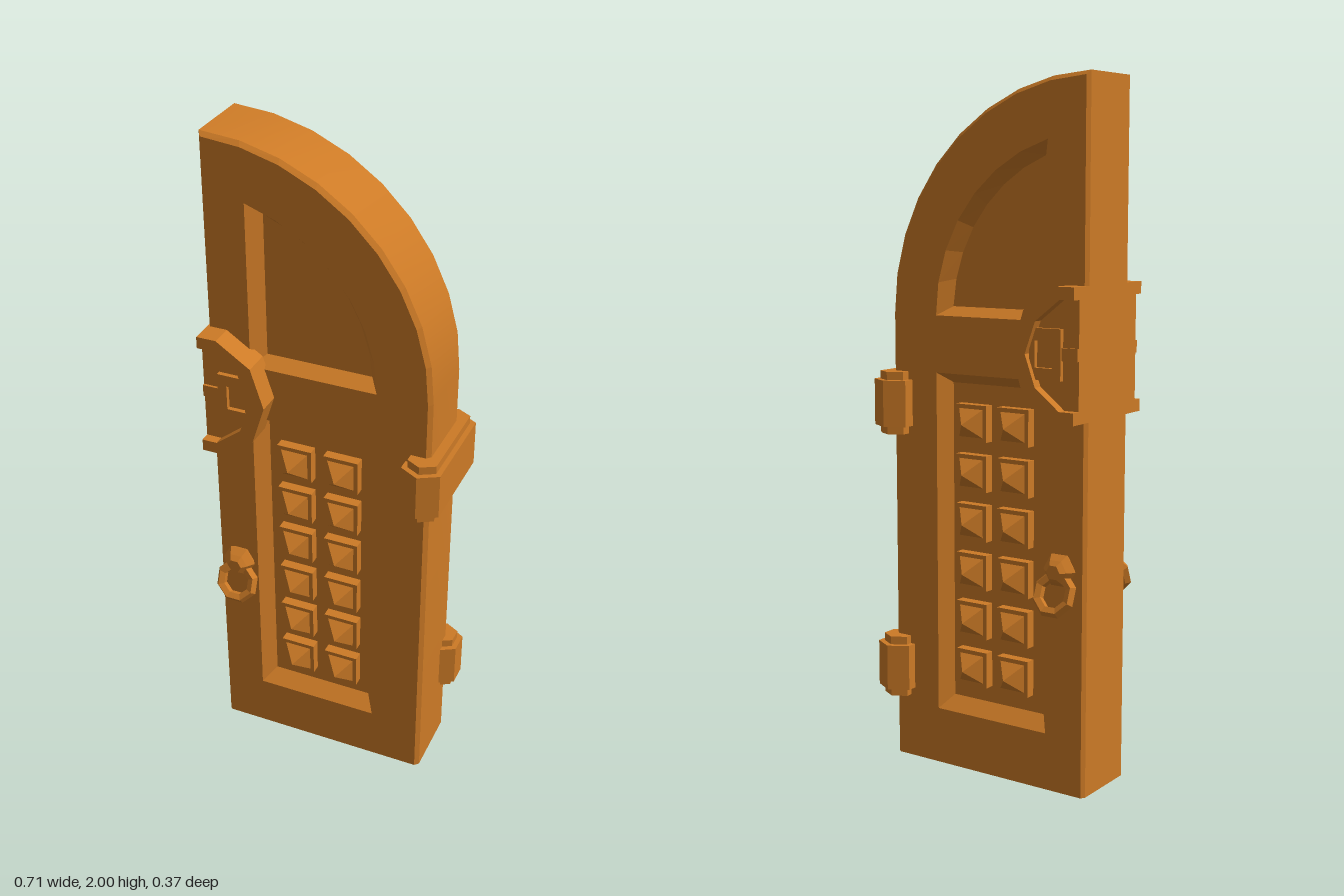
import * as THREE from 'three';
import { mergeGeometries, toCreasedNormals } from 'three/addons/utils/BufferGeometryUtils.js';

const wood = new THREE.MeshStandardMaterial({ color: 0xcc7a26 });
wood.name = 'warm brown';

const LEFT = -0.355, SPRING = 1.34; // meeting edge and centre height of the arch

// Faceted copy holding positions only
function flat(geo) {
  const g = geo.index ? geo.toNonIndexed() : geo;
  g.deleteAttribute('uv');
  g.clearGroups();
  g.computeVertexNormals();
  return g;
}

// Reflect a non-indexed geometry through z = 0, keeping faces outward
function mirrorZ(geo) {
  const g = geo.clone(), p = g.attributes.position;
  for (let i = 0; i < p.count; i += 3) {
    const v = [0, 2, 1].map(k => new THREE.Vector3().fromBufferAttribute(p, i + k));
    v.forEach((q, k) => p.setXYZ(i + k, q.x, q.y, -q.z));
  }
  g.computeVertexNormals();
  return g;
}

// Strip of quads between two matching loops at two depths
function band(a, za, b, zb) {
  const pos = [];
  a.forEach((p, i) => {
    const j = (i + 1) % a.length, q = a[j], r = b[j], s = b[i];
    pos.push(p.x, p.y, za, q.x, q.y, za, r.x, r.y, zb, p.x, p.y, za, r.x, r.y, zb, s.x, s.y, zb);
  });
  const g = new THREE.BufferGeometry();
  g.setAttribute('position', new THREE.Float32BufferAttribute(pos, 3));
  g.computeVertexNormals();
  return g;
}

const pts = list => list.map(([x, y]) => new THREE.Vector2(x, y));
const rect = (x0, x1, y0, y1) => pts([[x0, y0], [x1, y0], [x1, y1], [x0, y1]]);

// Counter-clockwise quarter-arch outline
function arch(left, bottom, r, n, low = SPRING) {
  const a0 = Math.asin((low - SPRING) / r), a1 = Math.acos((left - LEFT) / r);
  const out = [[left, bottom]];
  if (bottom < low) out.push([LEFT + r, bottom]);
  for (let i = 0; i <= n; i++) {
    const a = a0 + (a1 - a0) * i / n;
    out.push([LEFT + r * Math.cos(a), SPRING + r * Math.sin(a)]);
  }
  return pts(out);
}

function face(loop, z, holes = []) {
  const s = new THREE.Shape(loop);
  s.holes = holes.map(h => new THREE.Path(h));
  return flat(new THREE.ShapeGeometry(s).translate(0, 0, z));
}

function slab(loop, z0, z1, holes = []) {
  const s = new THREE.Shape(loop);
  s.holes = holes.map(h => new THREE.Path(h));
  return flat(new THREE.ExtrudeGeometry(s, { depth: z1 - z0, bevelEnabled: false }).translate(0, 0, z0));
}

export function createModel() {
  const model = new THREE.Group();
  model.name = 'archedDoorLeaf';
  const add = (name, geo) => {
    const m = new THREE.Mesh(geo, wood);
    m.name = name;
    model.add(m);
  };
  const addBoth = (name, geo) => {
    add(name + 'Front', geo);
    add(name + 'Back', mirrorZ(geo));
  };

  // Door leaf: edge wall, chamfer, face with two recesses
  const Z = 0.113, EDGE = 0.101, PANEL = 0.07;
  const outer = arch(LEFT, 0, 0.664, 9);
  const rim = arch(LEFT + 0.008, 0, 0.652, 9);
  const topOuter = arch(-0.228, SPRING, 0.505, 7), topInner = arch(-0.195, 1.365, 0.475, 7, 1.365);
  const lowOuter = rect(-0.228, 0.15, 0.167, 1.175), lowInner = rect(-0.195, 0.12, 0.205, 1.145);
  add('doorEdge', toCreasedNormals(band(outer, -EDGE, outer, EDGE), 0.5));
  addBoth('doorFace', mergeGeometries([
    band(outer, EDGE, rim, Z),
    face(rim, Z, [topOuter, lowOuter]),
    band(topOuter, Z, topInner, PANEL),
    band(lowOuter, Z, lowInner, PANEL),
    face(topInner, PANEL),
    face(lowInner, PANEL),
  ]));

  // Pyramid studs on square blocks, two columns of six
  const studs = [];
  for (const x of [-0.106, 0.038]) {
    for (let row = 0; row < 6; row++) {
      const y = 0.308 + row * 0.1455;
      studs.push(flat(new THREE.BoxGeometry(0.106, 0.106, 0.03).translate(x, y, 0.085)));
      studs.push(flat(new THREE.ConeGeometry(0.041 * Math.SQRT2, 0.047, 4, 1, true)
        .rotateY(Math.PI / 4).rotateX(Math.PI / 2).translate(x, y, 0.1235)));
    }
  }
  addBoth('studs', mergeGeometries(studs));

  // Half lock plate with a raised rim
  const cy = 1.255;
  const half = (h, x1, x2, y2, x3) => [
    [LEFT, cy - h], [x1, cy - h], [x2, cy - y2], [x3, cy], [x2, cy + y2], [x1, cy + h], [LEFT, cy + h]];
  const plateOut = half(0.185, -0.296, -0.195, 0.118, -0.157);
  const plateIn = half(0.15, -0.31, -0.233, 0.09, -0.2);
  addBoth('lockRim', slab(pts([...plateOut, ...plateIn.slice().reverse()]), 0.1, 0.181));
  addBoth('lockPlate', slab(pts(plateIn), 0.1, 0.152));
  addBoth('lockFrame', slab(rect(-0.305, -0.204, 1.185, 1.326), 0.15, 0.166,
    [rect(-0.278, -0.222, 1.218, 1.292)]));
  addBoth('lockBar', slab(rect(LEFT, -0.305, 1.24, 1.275), 0.15, 0.16));

  // Faceted knob carrying a tilted pull ring
  const knob = [[0.052, 0.032, 0.1, 0.13], [0.036, 0.052, 0.13, 0.15], [0.03, 0.036, 0, 0]];
  const knobParts = knob.slice(0, 2).map(([top, bottom, z0, z1]) =>
    flat(new THREE.CylinderGeometry(top, bottom, z1 - z0, 6)
      .rotateX(Math.PI / 2).rotateZ(Math.PI / 6).translate(-0.283, 0.655, (z0 + z1) / 2)));
  knobParts.push(flat(new THREE.CylinderGeometry(0.022, 0.036, 0.014, 6)
    .rotateX(Math.PI / 2).rotateZ(Math.PI / 6).translate(-0.283, 0.655, 0.157)));
  addBoth('handleKnob', mergeGeometries(knobParts));
  addBoth('handleRing', flat(new THREE.TorusGeometry(0.054, 0.016, 5, 8)
    .rotateZ(Math.PI / 8).rotateX(-0.38).translate(-0.281, 0.592, 0.152)));

  // Hinges: stretched hexagonal barrels with smaller end caps
  const hex = (w, flatHalf, tip, zc) => pts([
    [-w, -flatHalf], [0, -tip], [w, -flatHalf], [w, flatHalf], [0, tip], [-w, flatHalf],
  ].map(([x, y]) => [x + 0.295, y - zc]));
  const upright = (loop, y0, y1) => slab(loop, y0, y1).rotateX(-Math.PI / 2);
  const hinge = (name, y, zc, stretch) => add(name, mergeGeometries([
    upright(hex(0.057, 0.032 + stretch, 0.064 + stretch, zc), y - 0.068, y + 0.068),
    upright(hex(0.042, 0.023 + stretch, 0.046 + stretch, zc), y - 0.092, y + 0.092),
  ]));
  hinge('upperHinge', 1.08, 0, 0.115);
  hinge('lowerHinge', 0.282, -0.11, 0);

  return model;
}
